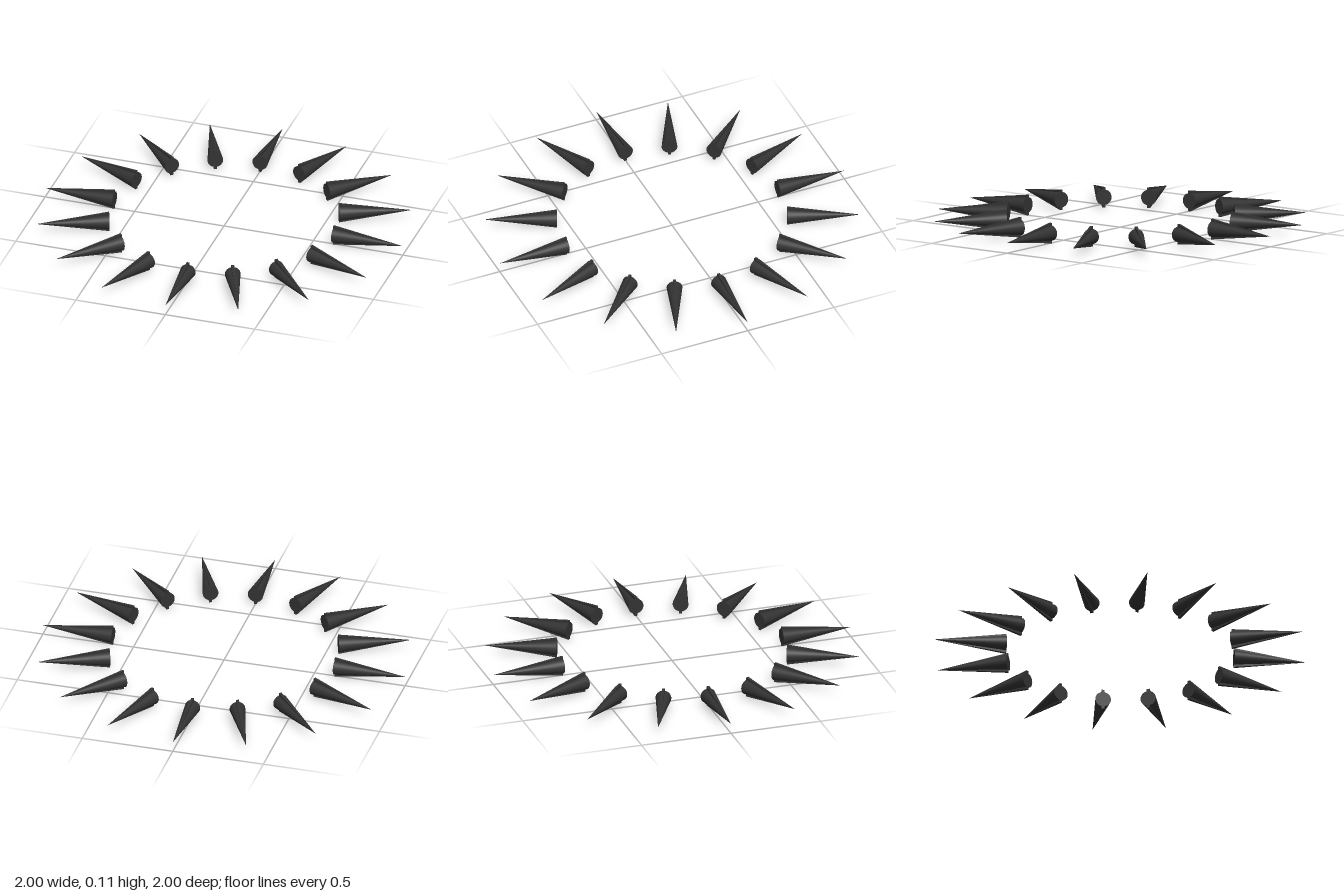
import * as THREE from 'three';

export function createModel() {
  const model = new THREE.Group();
  model.name = 'spikeRing';

  const count = 16;
  const inner = 0.612, outer = 1.0;
  const length = outer - inner;
  const centreY = 0.055;
  const material = new THREE.MeshStandardMaterial({ color: 0x333333 });
  const bladeMaterial = new THREE.MeshStandardMaterial({ color: 0x333333, flatShading: true });

  // Lay a cone along +z with its base on the inner radius and its tip on the outer one
  const layOutward = (geometry) =>
    geometry.rotateX(Math.PI / 2).translate(0, 0, inner + length / 2);

  // Round spike body
  const coneGeometry = layOutward(new THREE.ConeGeometry(0.042, length, 32));

  // Thin upright blade, tapering to the same tip and standing proud above and below
  const blade = new THREE.ConeGeometry(Math.SQRT2, length, 4).rotateY(Math.PI / 4);
  blade.scale(0.008, 1, 0.055);
  const bladeGeometry = layOutward(blade);

  for (let i = 0; i < count; i++) {
    const spike = new THREE.Group();
    spike.name = `spike${i + 1}`;
    const body = new THREE.Mesh(coneGeometry, material);
    body.name = 'spikeBody';
    const ridge = new THREE.Mesh(bladeGeometry, bladeMaterial);
    ridge.name = 'spikeRidge';
    spike.add(body, ridge);
    spike.position.y = centreY;
    spike.rotation.y = (i / count) * Math.PI * 2;
    model.add(spike);
  }
  return model;
}
